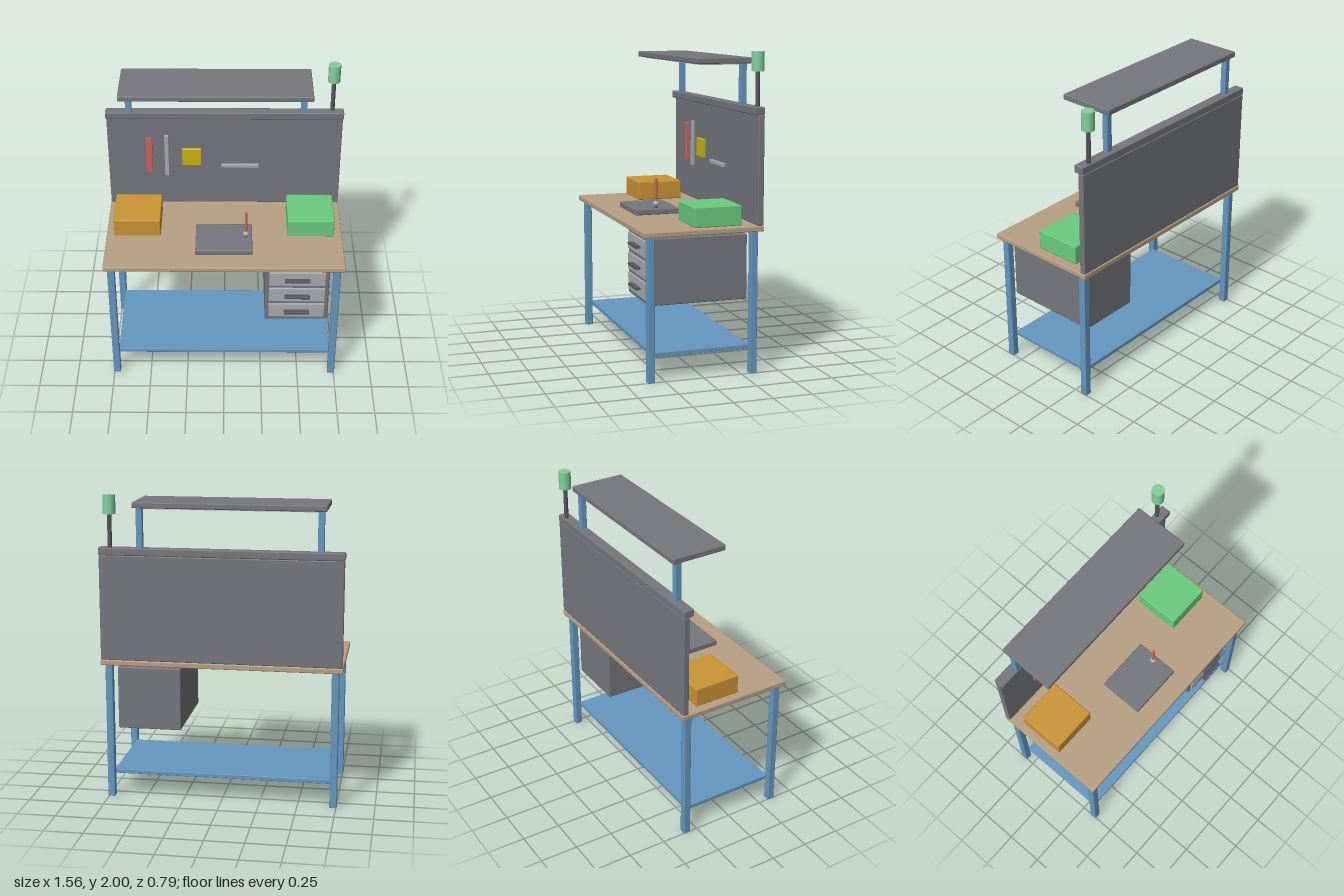
import * as THREE from 'three';
import { RoundedBoxGeometry } from 'three/addons/geometries/RoundedBoxGeometry.js';

const material = (name, color) => {
  const m = new THREE.MeshStandardMaterial({ color });
  m.name = name;
  return m;
};

export function createModel() {
  const blue = material('blue steel', 0x6597c1);
  const grey = material('grey steel', 0x76777d);
  const wood = material('wood', 0xb8a083);
  const orange = material('orange plastic', 0xca9433);
  const green = material('green plastic', 0x6acb7e);
  const lampGreen = material('lamp green', 0x84cf9a);
  const red = material('red', 0xc9645f);
  const yellow = material('yellow', 0xc8b412);
  const light = material('light grey', 0xa9acb1);
  const dark = material('dark grey', 0x55565c);

  const model = new THREE.Group();
  model.name = 'workbench';

  // Softly bevelled box given by its [min, max] range on each axis
  const box = (name, mat, [x0, x1], [y0, y1], [z0, z1], bevel = 0.007, parent = model) => {
    const w = x1 - x0, h = y1 - y0, d = z1 - z0;
    const geo = bevel
      ? new RoundedBoxGeometry(w, h, d, 1, Math.min(bevel, w / 3, h / 3, d / 3))
      : new THREE.BoxGeometry(w, h, d);
    const mesh = new THREE.Mesh(geo, mat);
    mesh.name = name;
    mesh.position.set((x0 + x1) / 2, (y0 + y1) / 2, (z0 + z1) / 2);
    parent.add(mesh);
    return mesh;
  };
  const cylinder = (name, mat, r, x, y0, y1, z) => {
    const mesh = new THREE.Mesh(new THREE.CylinderGeometry(r, r, y1 - y0, 24), mat);
    mesh.name = name;
    mesh.position.set(x, (y0 + y1) / 2, z);
    model.add(mesh);
    return mesh;
  };

  // Table: top, legs and lower shelf
  box('tableTop', wood, [-0.78, 0.78], [0.903, 0.938], [-0.38, 0.395]);
  for (const x of [-0.732, 0.732]) {
    for (const z of [-0.326, 0.341]) {
      box('leg', blue, [x - 0.024, x + 0.024], [0, 0.903], [z - 0.024, z + 0.024]);
    }
  }
  box('lowerShelf', blue, [-0.715, 0.715], [0.15, 0.178], [-0.31, 0.325], 0.004);

  // Drawer cabinet
  const cabinet = new THREE.Group();
  cabinet.name = 'drawerCabinet';
  model.add(cabinet);
  box('cabinetBody', grey, [0.27, 0.685], [0.463, 0.877], [-0.305, 0.338], 0.007, cabinet);
  for (const y of [0.808, 0.677, 0.547]) {
    box('drawerFront', light, [0.294, 0.662], [y - 0.054, y + 0.054], [0.33, 0.35], 0.004, cabinet);
    box('drawerHandle', dark, [0.395, 0.561], [y - 0.008, y + 0.008], [0.345, 0.383], 0.004, cabinet);
  }

  // Back panel with its top rail
  box('backPanel', grey, [-0.777, 0.777], [0.938, 1.618], [-0.376, -0.336]);
  box('topRail', grey, [-0.78, 0.78], [1.618, 1.667], [-0.376, -0.307]);

  // Overhead shelf on two posts, with a thin plate beneath
  for (const x of [-0.627, 0.517]) {
    box('shelfPost', blue, [x - 0.02, x + 0.02], [1.66, 1.925], [-0.352, -0.312], 0.004);
  }
  box('overheadShelf', grey, [-0.665, 0.557], [1.92, 1.957], [-0.38, -0.017]);
  box('shelfUnderside', light, [-0.625, 0.517], [1.912, 1.921], [-0.345, -0.055], 0);

  // Signal lamp
  cylinder('lampPole', dark, 0.014, 0.705, 1.66, 1.88, -0.355);
  cylinder('signalLamp', lampGreen, 0.04, 0.705, 1.88, 2, -0.355);

  // Bins
  box('rightBin', orange, [-0.73, -0.42], [0.938, 1.064], [-0.252, 0.057]);
  box('leftBin', green, [0.417, 0.726], [0.938, 1.064], [-0.252, 0.057]);

  // Work block with an upright tool
  box('workBlock', grey, [-0.187, 0.184], [0.938, 0.976], [-0.033, 0.263]);
  const socket = new THREE.Mesh(new THREE.SphereGeometry(0.021, 12, 8), light);
  socket.name = 'toolSocket';
  socket.position.set(0.143, 1.003, 0.113);
  model.add(socket);
  cylinder('uprightTool', red, 0.009, 0.143, 1.01, 1.17, 0.113);
  cylinder('toolStem', dark, 0.009, 0.143, 0.97, 0.99, 0.113);

  // Tools hung on the panel
  const hung = [-0.338, -0.316];
  box('redTool', red, [-0.524, -0.481], [1.2, 1.461], hung, 0.003);
  box('ruler', light, [-0.4, -0.372], [1.17, 1.482], hung, 0.003);
  box('yellowPad', yellow, [-0.283, -0.156], [1.252, 1.378], hung, 0.003);
  box('flatTool', light, [-0.022, 0.228], [1.233, 1.258], hung, 0.003);

  return model;
}
